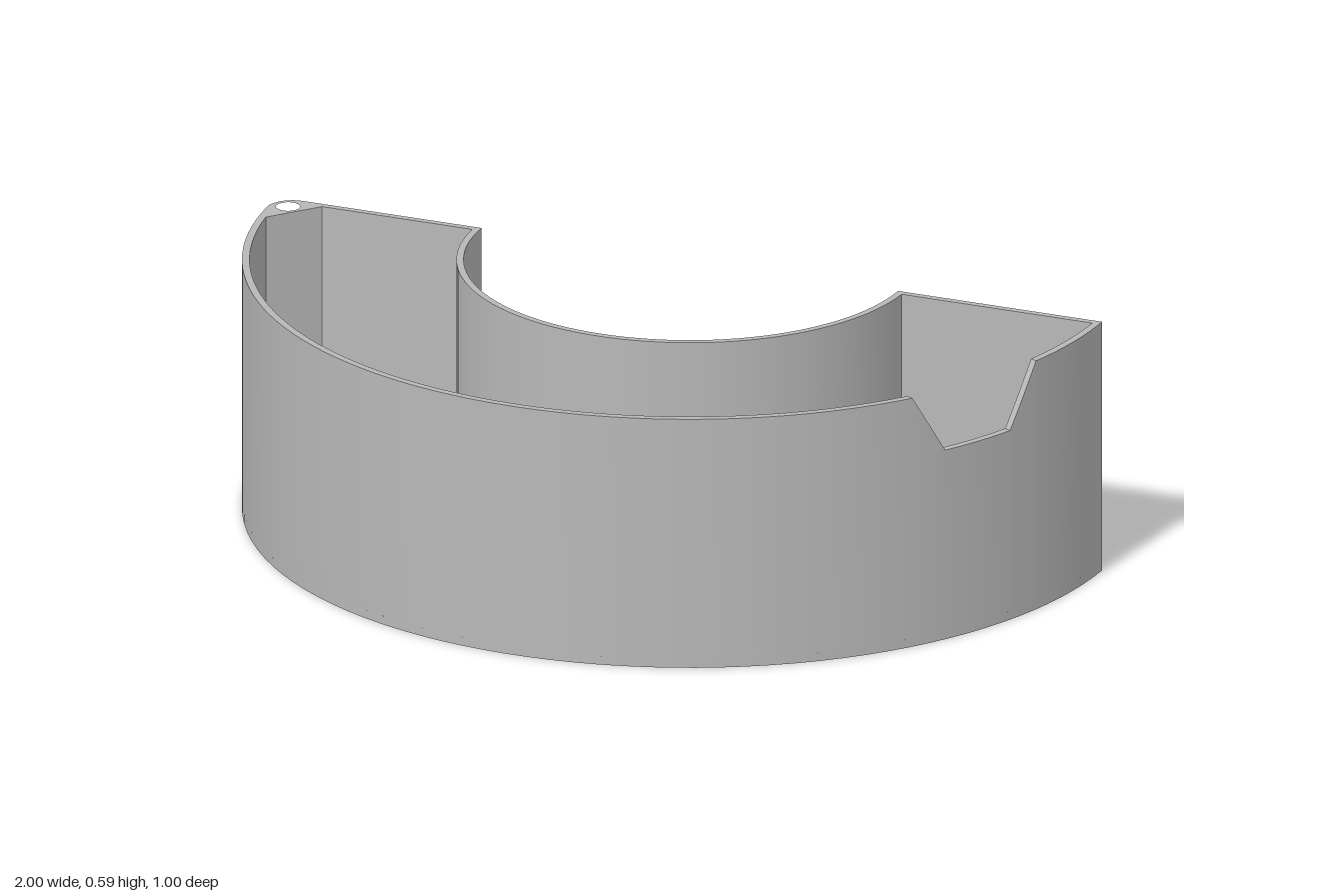
import * as THREE from 'three';
import { toCreasedNormals } from 'three/addons/utils/BufferGeometryUtils.js';

const HEIGHT = 0.594, FLOOR = 0.02, BACK = -0.5, WALL = 0.016;
const R_OUT = 1, R_OUT_IN = 0.983, R_IN = 0.505, R_IN_IN = 0.521;
// Pouring notch: direction, half widths at top and bottom, bottom height
const NOTCH = { angle: 0.468, top: 0.181, low: 0.095, y: 0.452 };

const rad = THREE.MathUtils.degToRad;
const p = (x, z) => new THREE.Vector2(x, -z);

// Points along an arc in plan, angle measured from +x towards +z
function arc(r, a0, a1, n, cx = 0, cz = BACK) {
  return Array.from({ length: n + 1 }, (_, i) => {
    const a = a0 + (a1 - a0) * i / n;
    return p(cx + r * Math.cos(a), cz + r * Math.sin(a));
  });
}

// Angle on radius r at offset t across the notch
const notchAngle = (r, t) => NOTCH.angle + Math.asin(t / r);

// Outside contour: outer arc, rounded left corner, back edges and inner arc
function outerContour(start) {
  return [
    ...arc(R_OUT, start, rad(176.5), 56),
    ...arc(0.06, rad(180), rad(270), 10, -0.938, -0.44),
    ...arc(R_IN, Math.PI, 0, 56),
  ];
}

// Upright prism with an optional rule for the height of its top
function prism(points, y0, y1, hole, topRule) {
  const shape = new THREE.Shape(points);
  if (hole) shape.holes.push(hole);
  const g = new THREE.ExtrudeGeometry(shape, { depth: y1 - y0, bevelEnabled: false });
  g.rotateX(-Math.PI / 2).translate(0, y0, 0);
  const pos = g.attributes.position;
  if (topRule) {
    for (let i = 0; i < pos.count; i++) {
      if (pos.getY(i) > y1 - 1e-4) pos.setY(i, topRule(pos.getX(i), pos.getZ(i)));
    }
  }
  return toCreasedNormals(g, rad(25));
}

export function createModel() {
  const group = new THREE.Group();
  const grey = new THREE.MeshStandardMaterial({ color: 0xb8b8b8 });
  grey.name = 'plain grey';
  const add = (name, geometry) => {
    const mesh = new THREE.Mesh(geometry, grey);
    mesh.name = name;
    group.add(mesh);
  };

  // Hinge pin hole through the left back corner
  const pinHole = () => new THREE.Path(arc(0.027, 0, Math.PI * 2, 24, -0.955, -0.455).slice(0, -1));

  // Floor
  add('floor', prism([...outerContour(0), p(R_OUT, BACK)].slice(0, -1), 0, FLOOR, pinHole()));

  // Wall all the way round, open at the notch, with the thick corner for the pin
  const wall = [
    ...outerContour(notchAngle(R_OUT, NOTCH.top)),
    ...arc(R_OUT, 0, notchAngle(R_OUT, -NOTCH.top), 8),
    ...arc(R_OUT_IN, notchAngle(R_OUT_IN, -NOTCH.top), Math.asin(WALL / R_OUT_IN), 8),
    ...arc(R_IN_IN, Math.asin(WALL / R_IN_IN), Math.PI - Math.asin(WALL / R_IN_IN), 56),
    p(-0.885, BACK + WALL),
    ...arc(R_OUT_IN, rad(172.7), notchAngle(R_OUT_IN, NOTCH.top), 56),
  ];
  add('wall', prism(wall, FLOOR, HEIGHT, pinHole()));

  // Wall below the notch: sloped, level and sloped again
  const notchTop = (x, z) => {
    const t = Math.abs(-x * Math.sin(NOTCH.angle) + (z - BACK) * Math.cos(NOTCH.angle));
    const k = THREE.MathUtils.clamp((t - NOTCH.low) / (NOTCH.top - NOTCH.low), 0, 1);
    return NOTCH.y + k * (HEIGHT - NOTCH.y);
  };
  const stops = [-NOTCH.top, -NOTCH.low, NOTCH.low, NOTCH.top];
  for (let i = 0; i < 3; i++) {
    const [a, b] = [stops[i], stops[i + 1]];
    const points = [
      ...arc(R_OUT, notchAngle(R_OUT, a), notchAngle(R_OUT, b), 4),
      ...arc(R_OUT_IN, notchAngle(R_OUT_IN, b), notchAngle(R_OUT_IN, a), 4),
    ];
    add(['notchRightSlope', 'notchSill', 'notchLeftSlope'][i], prism(points, FLOOR, HEIGHT, null, notchTop));
  }
  return group;
}
